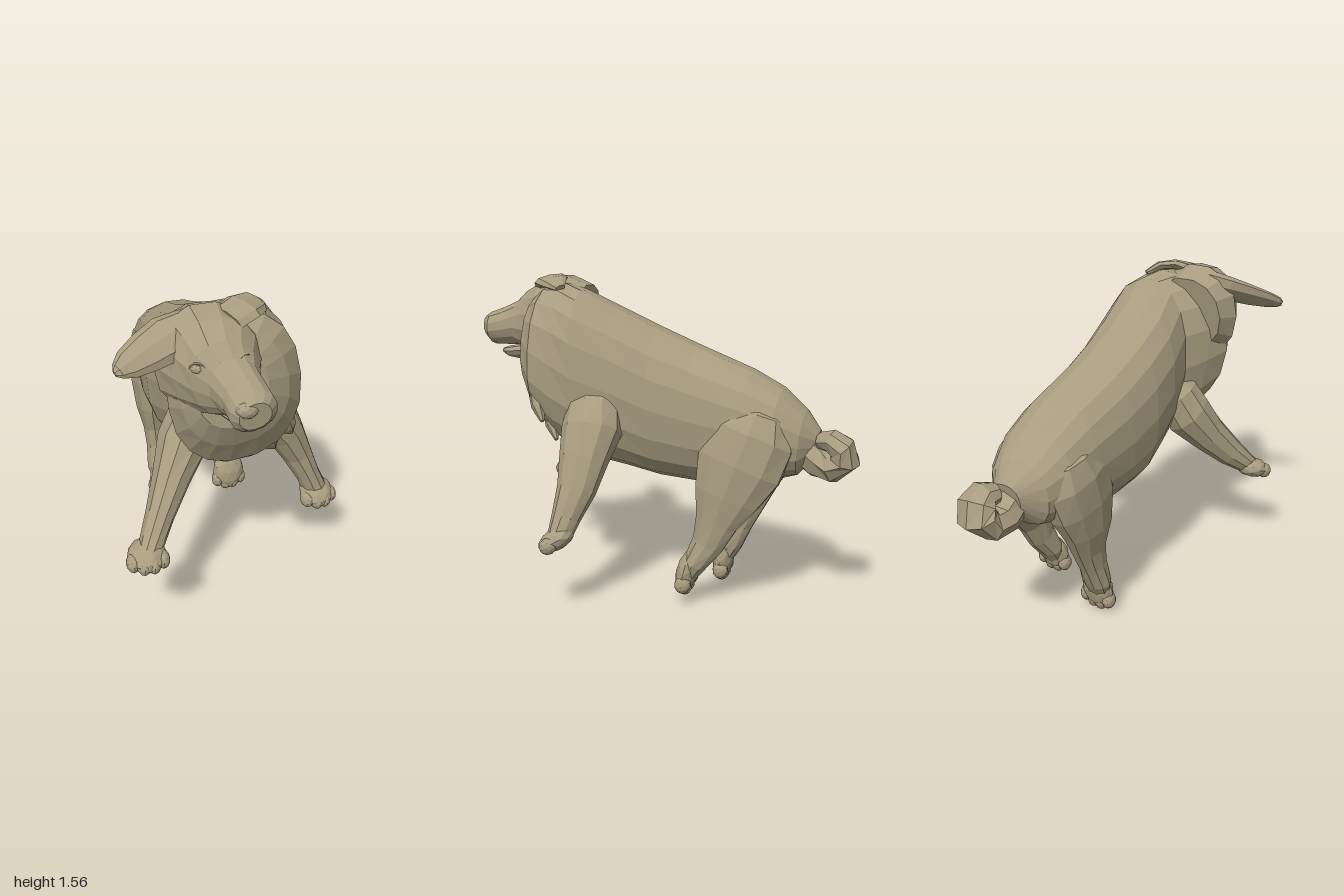
import * as THREE from 'three';

const V = (x, y, z) => new THREE.Vector3(x, y, z);
const fur = new THREE.MeshStandardMaterial({ color: 0xa89c80, flatShading: true });

function addMesh(parent, name, geometry) {
  const mesh = new THREE.Mesh(geometry, fur);
  mesh.name = name;
  parent.add(mesh);
  return mesh;
}

// Skin over rings {c, u, v}, closed by a fan at each end; power below 1 squares the rings
function loft(rings, sides, power = 1) {
  const pos = [], idx = [], last = rings.length - 1;
  const bend = s => Math.sign(s) * Math.abs(s) ** power;
  for (const { c, u, v } of rings) {
    for (let j = 0; j < sides; j++) {
      const a = (j / sides) * Math.PI * 2;
      const p = c.clone().addScaledVector(u, bend(Math.cos(a))).addScaledVector(v, bend(Math.sin(a)));
      pos.push(p.x, p.y, p.z);
    }
  }
  const start = rings.length * sides;
  for (const r of [rings[0], rings[last]]) pos.push(r.c.x, r.c.y, r.c.z);
  for (let j = 0; j < sides; j++) {
    const k = (j + 1) % sides;
    for (let i = 0; i < last; i++) {
      const a = i * sides + j, b = i * sides + k;
      idx.push(a, b, b + sides, a, b + sides, a + sides);
    }
    idx.push(start, k, j, start + 1, last * sides + j, last * sides + k);
  }
  const g = new THREE.BufferGeometry();
  g.setAttribute('position', new THREE.Float32BufferAttribute(pos, 3));
  g.setIndex(idx);
  g.computeVertexNormals();
  return g;
}

// Sections: top point, bottom point, half width
function trunk(sections, sides, power) {
  return loft(sections.map(([tx, ty, tz, bx, by, bz, w]) => {
    const top = V(tx, ty, tz), bottom = V(bx, by, bz);
    const v = top.clone().sub(bottom).multiplyScalar(0.5);
    const u = v.clone().cross(V(0, 0, 1)).setLength(w);
    return { c: top.add(bottom).multiplyScalar(0.5), u, v };
  }), sides, power);
}

// Stations along a path: x, y, z, radius along hint, radius across it
function limb(stations, sides, hint = V(1, 0, 0)) {
  const pts = stations.map(s => V(s[0], s[1], s[2]));
  return loft(stations.map((s, i) => {
    const t = pts[Math.min(i + 1, pts.length - 1)].clone().sub(pts[Math.max(i - 1, 0)]).normalize();
    const u = hint.clone().addScaledVector(t, -hint.dot(t)).normalize();
    const v = t.clone().cross(u);
    return { c: pts[i], u: u.multiplyScalar(s[3]), v: v.multiplyScalar(s[4]) };
  }), sides);
}

function blob(parent, name, at, size) {
  const mesh = addMesh(parent, name, new THREE.IcosahedronGeometry(1, 1));
  mesh.position.set(...at);
  mesh.scale.set(...size);
}

// Foot with four toes, pointing along dir
function addPaw(parent, name, at, dir, length) {
  const paw = new THREE.Group();
  paw.name = name;
  paw.position.set(...at);
  paw.lookAt(V(...at).add(V(...dir)));
  blob(paw, 'foot', [0, 0, 0], [0.088, 0.053, length]);
  for (let i = 0; i < 4; i++) {
    const x = (i - 1.5) * 0.043;
    blob(paw, 'toe', [x, -0.005, length - 0.03 - Math.abs(x) * 0.5], [0.032, 0.04, 0.045]);
  }
  parent.add(paw);
}

export function createModel() {
  const dog = new THREE.Group();
  dog.name = 'dog';

  // Body from rump to neck ruff
  addMesh(dog, 'body', trunk([
    [-0.04, 0.84, -0.8, -0.04, 0.7, -0.77, 0.07],
    [-0.05, 0.93, -0.73, -0.05, 0.62, -0.7, 0.16],
    [-0.05, 1.03, -0.62, -0.05, 0.58, -0.56, 0.21],
    [-0.05, 1.11, -0.47, -0.05, 0.57, -0.4, 0.23],
    [-0.06, 1.215, -0.2, -0.06, 0.55, -0.2, 0.24],
    [-0.05, 1.3, 0, -0.06, 0.565, -0.02, 0.25],
    [-0.03, 1.395, 0.2, -0.02, 0.61, 0.14, 0.255],
    [0.01, 1.48, 0.37, 0.01, 0.65, 0.32, 0.245],
    [-0.05, 1.51, 0.48, 0.01, 0.71, 0.46, 0.27],
    [-0.09, 1.5, 0.57, -0.01, 0.81, 0.59, 0.29],
    [-0.12, 1.44, 0.65, -0.03, 0.95, 0.67, 0.23],
    [-0.13, 1.38, 0.69, -0.07, 1.07, 0.72, 0.15],
  ], 18, 0.87));

  // Overlapping locks of chest fur, swept to one side
  for (let i = 0; i < 7; i++) {
    const x = -0.26 + i * 0.06, drop = (i % 2) * 0.1;
    const z = 0.63 - drop * 0.6 - Math.abs(x + 0.07) * 0.25;
    addMesh(dog, 'chestLock', limb([
      [x, 1.08 - drop, z, 0.03, 0.02],
      [x + 0.05, 0.99 - drop, z - 0.005, 0.065, 0.035],
      [x + 0.1, 0.91 - drop, z - 0.04, 0.045, 0.03],
      [x + 0.14, 0.85 - drop, z - 0.08, 0.01, 0.01],
    ], 6));
  }

  // Head, turned and tilted a little
  const head = new THREE.Group();
  head.name = 'head';
  dog.add(head);
  addMesh(head, 'skullAndMuzzle', trunk([
    [-0.17, 1.5, 0.42, -0.17, 1.14, 0.5, 0.18],
    [-0.18, 1.55, 0.54, -0.17, 1.08, 0.58, 0.215],
    [-0.18, 1.53, 0.65, -0.13, 1.12, 0.68, 0.185],
    [-0.18, 1.475, 0.74, -0.11, 1.16, 0.76, 0.14],
    [-0.155, 1.42, 0.79, -0.09, 1.19, 0.81, 0.105],
    [-0.13, 1.38, 0.87, -0.075, 1.19, 0.87, 0.095],
    [-0.12, 1.355, 0.94, -0.075, 1.19, 0.94, 0.095],
    [-0.12, 1.33, 0.985, -0.085, 1.22, 0.975, 0.065],
  ], 14, 0.92));
  addMesh(head, 'lowerJaw', trunk([
    [-0.09, 1.21, 0.64, -0.08, 1.115, 0.66, 0.11],
    [-0.07, 1.19, 0.78, -0.06, 1.115, 0.77, 0.075],
    [-0.06, 1.18, 0.84, -0.055, 1.125, 0.83, 0.06],
    [-0.06, 1.17, 0.865, -0.055, 1.14, 0.86, 0.035],
  ], 10));
  blob(head, 'nose', [-0.13, 1.3, 0.965], [0.045, 0.034, 0.032]);
  for (const [x, y, z, turn] of [[-0.255, 1.375, 0.743, -0.6], [-0.085, 1.4, 0.768, 0.5]]) {
    blob(head, 'eye', [x, y, z], [0.03, 0.022, 0.025]);
    const lid = addMesh(head, 'eyelid', new THREE.TorusGeometry(0.032, 0.01, 5, 12));
    lid.position.set(x, y, z + 0.005);
    lid.rotation.y = turn;
    lid.scale.y = 0.75;
  }

  // Ears: one stretched sideways, one folded back
  addMesh(head, 'rightEar', limb([
    [-0.23, 1.46, 0.57, 0.09, 0.05],
    [-0.34, 1.435, 0.59, 0.1, 0.045],
    [-0.43, 1.41, 0.63, 0.085, 0.035],
    [-0.51, 1.39, 0.67, 0.062, 0.026],
    [-0.55, 1.38, 0.695, 0.035, 0.02],
    [-0.565, 1.375, 0.7, 0.015, 0.01],
  ], 8, V(0, 0.6, -0.7)));
  addMesh(head, 'leftEar', limb([
    [-0.1, 1.5, 0.61, 0.08, 0.035],
    [-0.02, 1.525, 0.57, 0.085, 0.025],
    [0.04, 1.515, 0.52, 0.065, 0.025],
    [0.085, 1.485, 0.47, 0.025, 0.015],
  ], 8, V(0.3, -0.2, 0.9)));

  // Legs in mid leap, with their paws
  addMesh(dog, 'leftFrontLeg', limb([
    [0.1, 1.02, 0.28, 0.05, 0.07],
    [0.17, 0.92, 0.26, 0.11, 0.14],
    [0.23, 0.82, 0.25, 0.12, 0.15],
    [0.31, 0.69, 0.26, 0.095, 0.12],
    [0.375, 0.56, 0.27, 0.075, 0.095],
    [0.43, 0.44, 0.3, 0.06, 0.07],
    [0.47, 0.35, 0.32, 0.06, 0.055],
  ], 10));
  addPaw(dog, 'leftFrontPaw', [0.47, 0.345, 0.33], [0.1, -0.45, 0.8], 0.09);

  addMesh(dog, 'rightFrontLeg', limb([
    [-0.12, 1.02, 0.32, 0.05, 0.07],
    [-0.18, 0.92, 0.35, 0.11, 0.13],
    [-0.23, 0.82, 0.39, 0.12, 0.13],
    [-0.31, 0.69, 0.48, 0.088, 0.1],
    [-0.39, 0.57, 0.58, 0.066, 0.078],
    [-0.44, 0.5, 0.65, 0.058, 0.058],
    [-0.47, 0.46, 0.69, 0.05, 0.05],
  ], 10));
  addPaw(dog, 'rightFrontPaw', [-0.475, 0.458, 0.69], [-0.05, -0.25, 0.9], 0.09);

  addMesh(dog, 'leftHindLeg', limb([
    [0.04, 0.97, -0.54, 0.03, 0.06],
    [0.06, 0.9, -0.53, 0.11, 0.15],
    [0.09, 0.81, -0.5, 0.13, 0.21],
    [0.13, 0.67, -0.45, 0.115, 0.21],
    [0.165, 0.53, -0.4, 0.08, 0.16],
    [0.18, 0.41, -0.36, 0.058, 0.105],
    [0.18, 0.3, -0.32, 0.058, 0.08],
    [0.18, 0.2, -0.26, 0.075, 0.06],
    [0.18, 0.12, -0.22, 0.06, 0.04],
  ], 10));
  addPaw(dog, 'leftHindPaw', [0.18, 0.15, -0.22], [0, -0.95, 0.2], 0.11);

  addMesh(dog, 'rightHindLeg', limb([
    [-0.14, 0.97, -0.54, 0.03, 0.06],
    [-0.16, 0.9, -0.53, 0.11, 0.15],
    [-0.175, 0.81, -0.5, 0.125, 0.21],
    [-0.195, 0.67, -0.46, 0.105, 0.2],
    [-0.2, 0.53, -0.43, 0.085, 0.15],
    [-0.19, 0.4, -0.41, 0.064, 0.1],
    [-0.185, 0.3, -0.38, 0.062, 0.075],
    [-0.18, 0.18, -0.34, 0.075, 0.06],
    [-0.165, 0.1, -0.31, 0.065, 0.04],
  ], 10));
  addPaw(dog, 'rightHindPaw', [-0.165, 0.11, -0.31], [0, -0.95, 0.12], 0.11);

  // Curled tail
  addMesh(dog, 'tail', limb([
    [-0.03, 0.76, -0.71, 0.08, 0.08],
    [-0.02, 0.7, -0.8, 0.1, 0.085],
    [0.0, 0.685, -0.87, 0.115, 0.08],
    [0.01, 0.725, -0.92, 0.11, 0.075],
    [0.02, 0.775, -0.905, 0.1, 0.065],
    [0.02, 0.805, -0.86, 0.08, 0.055],
    [0.0, 0.8, -0.81, 0.06, 0.04],
  ], 8));

  return dog;
}
